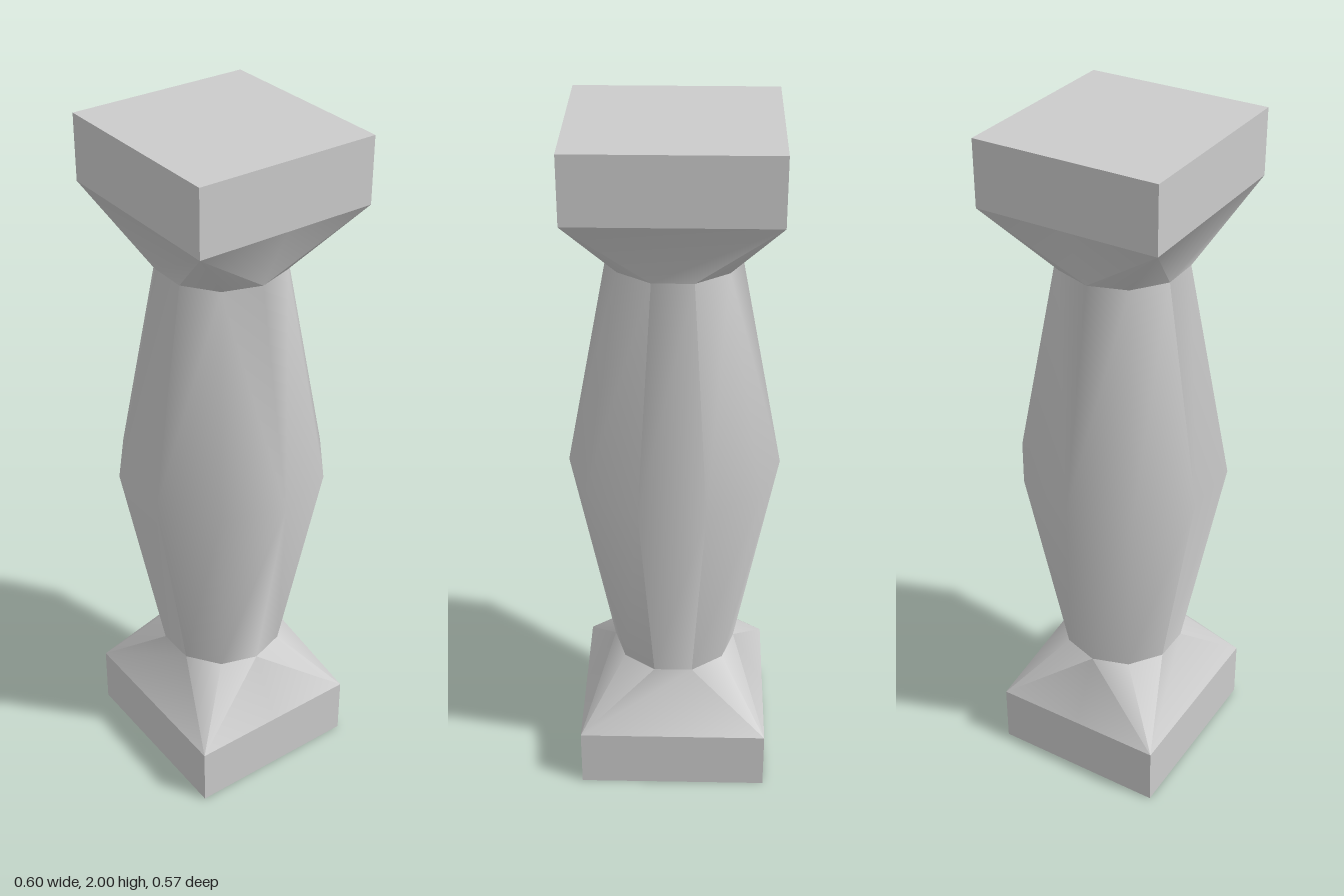
import * as THREE from 'three';
import { toCreasedNormals } from 'three/addons/utils/BufferGeometryUtils.js';

const SIDES = 10;
const HALF_X = 0.275, HALF_Z = 0.26, BLOCK_H = 0.183;

// Ten-sided ring, vertices on the x axis
function roundRing(radius, y) {
  return Array.from({ length: SIDES }, (_, i) => {
    const a = (i / SIDES) * Math.PI * 2;
    return [radius * Math.cos(a), y, radius * Math.sin(a)];
  });
}

// Same ten vertices gathered into the corners and side middles of a rectangle
function squareRing(y) {
  return Array.from({ length: SIDES }, (_, i) => {
    const a = (i / SIDES) * Math.PI * 2;
    const z = i % 5 === 0 ? 0 : Math.sign(Math.sin(a)) * HALF_Z;
    return [Math.sign(Math.cos(a)) * HALF_X, y, z];
  });
}

// Skin consecutive rings, splitting each quad along its longer diagonal at the flares
function loft(rings) {
  const pos = [];
  const dist = (p, q) => Math.hypot(p[0] - q[0], p[1] - q[1], p[2] - q[2]);
  const tri = (p, q, r) => {
    if (dist(p, q) > 1e-6 && dist(q, r) > 1e-6 && dist(r, p) > 1e-6) pos.push(...p, ...q, ...r);
  };
  for (let k = 0; k < rings.length - 1; k++) {
    for (let i = 0; i < SIDES; i++) {
      const j = (i + 1) % SIDES;
      const a = rings[k][i], b = rings[k + 1][i], c = rings[k + 1][j], d = rings[k][j];
      if (dist(a, c) > dist(b, d)) {
        tri(a, b, c);
        tri(a, c, d);
      } else {
        tri(a, b, d);
        tri(b, c, d);
      }
    }
  }
  const geo = new THREE.BufferGeometry();
  geo.setAttribute('position', new THREE.Float32BufferAttribute(pos, 3));
  return toCreasedNormals(geo, Math.PI / 4);
}

export function createModel() {
  const group = new THREE.Group();
  group.name = 'baluster';
  const material = new THREE.MeshStandardMaterial({ color: 0xcccccc });
  const add = (name, geometry, y = 0) => {
    const mesh = new THREE.Mesh(geometry, material);
    mesh.name = name;
    mesh.position.y = y;
    group.add(mesh);
  };

  // Square blocks at foot and head
  const block = new THREE.BoxGeometry(HALF_X * 2, BLOCK_H, HALF_Z * 2);
  add('baseBlock', block, BLOCK_H / 2);
  add('topBlock', block, 2 - BLOCK_H / 2);

  // Flare, neck, belly, neck, flare
  add('shaft', loft([
    squareRing(BLOCK_H),
    roundRing(0.18, 0.37),
    roundRing(0.3, 1),
    roundRing(0.18, 1.63),
    squareRing(2 - BLOCK_H),
  ]));

  return group;
}
